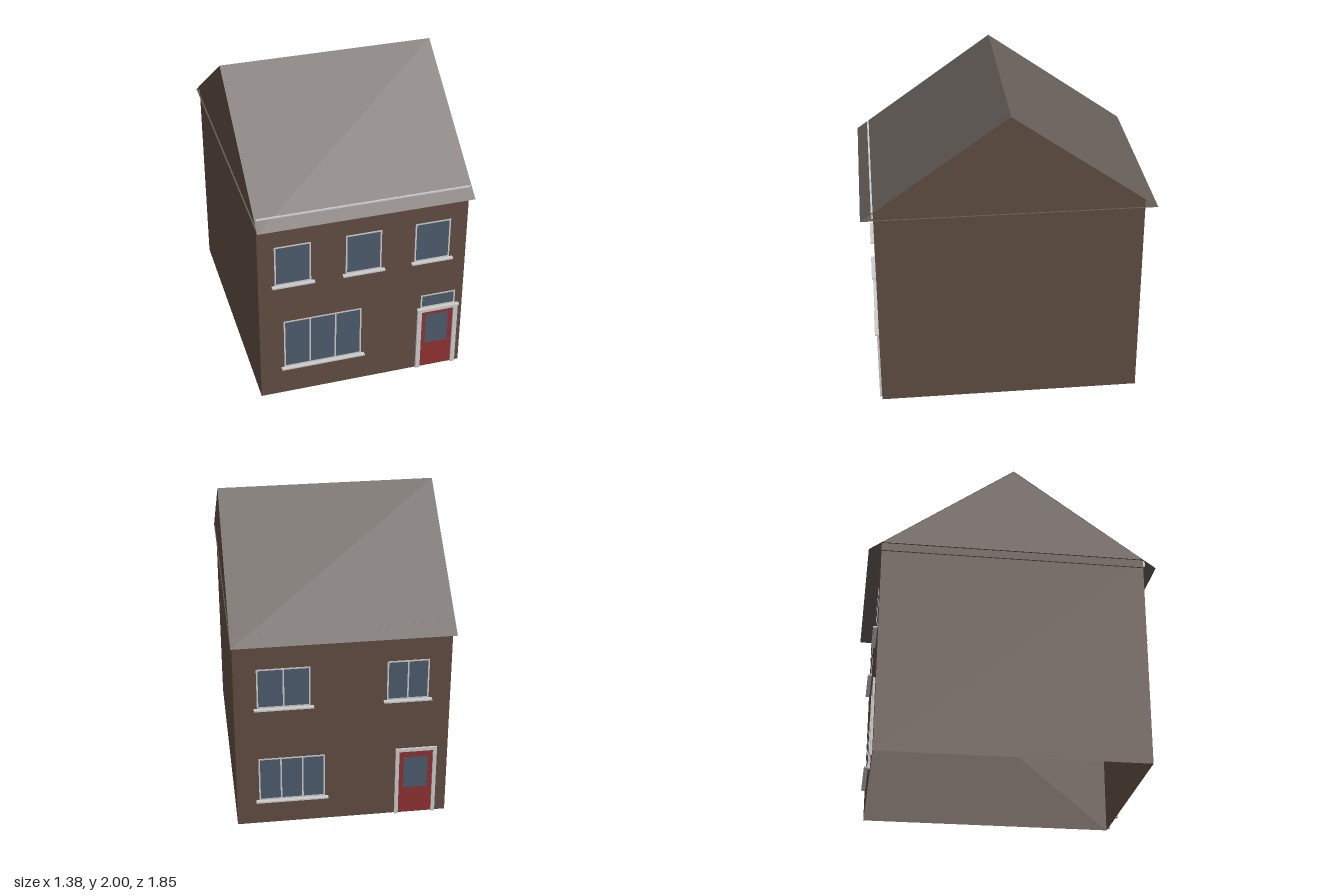
import * as THREE from 'three';

const mat = (color, side = THREE.FrontSide) => new THREE.MeshStandardMaterial({ color, side });
const brick = mat(0x5f4c42, THREE.DoubleSide);
const tile = mat(0x645d58, THREE.DoubleSide);
const trim = mat(0xcccccc);
const glass = mat(0x4d5b6c);
const red = mat(0x8e3131);

// Half extents of the walls, eaves height and ridge height
const W = 0.68, D = 0.845, EAVES = 1.4, RIDGE = 2;
// Roof half width, and run and fall of each slope
const ROOF_W = 0.69, REACH = 0.925, DROP = 0.657;
// Back plane of everything fixed to the wall
const Z0 = D + 0.0004;

function add(parent, name, geometry, material) {
  const mesh = new THREE.Mesh(geometry, material);
  mesh.name = name;
  parent.add(mesh);
  return mesh;
}

// Box given by its limits on each axis
function slab(parent, name, material, x0, x1, y0, y1, z0, z1) {
  const mesh = add(parent, name, new THREE.BoxGeometry(x1 - x0, y1 - y0, z1 - z0), material);
  mesh.position.set((x0 + x1) / 2, (y0 + y1) / 2, (z0 + z1) / 2);
}

// Window with frame, upright bars between panes and an optional sill
function addWindow(parent, name, x0, x1, y0, y1, panes = 1, sill = true) {
  const g = new THREE.Group();
  g.name = name;
  const t = 0.01, z1 = D + 0.0025;
  slab(g, 'pane', glass, x0 + t / 2, x1 - t / 2, y0 + t / 2, y1 - t / 2, Z0, D + 0.0015);
  slab(g, 'frameTop', trim, x0, x1, y1 - t, y1, Z0, z1);
  slab(g, 'frameBottom', trim, x0, x1, y0, y0 + t, Z0, z1);
  for (let i = 0; i <= panes; i++) {
    const x = x0 + t / 2 + ((x1 - x0 - t) * i) / panes;
    slab(g, 'frameUpright', trim, x - t / 2, x + t / 2, y0 + t, y1 - t, Z0, z1);
  }
  if (sill) slab(g, 'sill', trim, x0 - 0.02, x1 + 0.02, y0 - 0.01, y0, Z0, D + 0.027);
  parent.add(g);
}

// Glazed door with posts and a head piece
function addDoor(parent, name, x0, x1, top, post) {
  const g = new THREE.Group();
  g.name = name;
  const z1 = D + 0.014, mid = (x0 + x1) / 2, head = top - 0.022;
  slab(g, 'doorLeaf', red, x0 + post, x1 - post, 0, head, Z0, D + 0.0015);
  slab(g, 'doorGlass', glass, mid - 0.078, mid + 0.078, 0.195, 0.43, Z0, D + 0.003);
  slab(g, 'doorPost', trim, x0, x0 + post, 0, head, Z0, z1);
  slab(g, 'doorPost', trim, x1 - post, x1, 0, head, Z0, z1);
  slab(g, 'doorHead', trim, x0, x1, head, top, Z0, z1);
  parent.add(g);
}

export function createModel() {
  const house = new THREE.Group();
  house.name = 'house';

  // Four thin walls, open at the bottom
  ['frontWall', 'leftWall', 'backWall', 'rightWall'].forEach((name, i) => {
    const [half, out] = i % 2 ? [D, W] : [W, D];
    const wall = new THREE.PlaneGeometry(2 * half, EAVES);
    wall.translate(0, EAVES / 2, out).rotateY((i * Math.PI) / 2);
    add(house, name, wall, brick);
  });

  // Gable block, standing slightly proud of the side walls
  const tri = new THREE.Shape([
    new THREE.Vector2(-D + 0.002, EAVES),
    new THREE.Vector2(D - 0.002, EAVES),
    new THREE.Vector2(0, RIDGE - 0.003),
  ]);
  const gw = ROOF_W - 0.001;
  const gable = new THREE.ExtrudeGeometry(tri, { depth: 2 * gw, bevelEnabled: false });
  gable.translate(0, 0, -gw).rotateY(Math.PI / 2);
  add(house, 'gables', gable, brick);

  // Two thin roof slopes that overhang the eaves
  for (const s of [1, -1]) {
    const slope = new THREE.PlaneGeometry(2 * ROOF_W, Math.hypot(REACH, DROP));
    slope.rotateX(-Math.atan2(REACH, DROP)).translate(0, RIDGE - DROP / 2, REACH / 2);
    if (s < 0) slope.rotateY(Math.PI);
    add(house, s > 0 ? 'frontRoof' : 'backRoof', slope, tile);
  }

  // Flat underside closing the roof at the level of its lower edges
  const soffit = new THREE.PlaneGeometry(2 * ROOF_W, 2 * REACH);
  soffit.rotateX(Math.PI / 2).translate(0, RIDGE - DROP, 0);
  add(house, 'soffit', soffit, tile);
  slab(house, 'fascia', trim, -W, W, 1.355, EAVES, Z0, 0.857);

  // Front openings
  const front = new THREE.Group();
  front.name = 'frontOpenings';
  for (const x of [-0.457, 0, 0.453]) addWindow(front, 'upperWindow', x - 0.117, x + 0.117, 0.88, 1.17);
  addWindow(front, 'livingRoomWindow', -0.523, -0.008, 0.215, 0.585, 3);
  addDoor(front, 'frontDoor', 0.373, 0.65, 0.485, 0.03);
  slab(front, 'doorCanopy', trim, 0.37, 0.653, 0.485, 0.495, Z0, D + 0.027);
  addWindow(front, 'transomWindow', 0.394, 0.629, 0.495, 0.597, 1, false);
  house.add(front);

  // Back openings, laid out as seen from behind and then turned round
  const back = new THREE.Group();
  back.name = 'backOpenings';
  addWindow(back, 'upperWindow', -0.537, -0.202, 0.87, 1.148, 2);
  addWindow(back, 'upperWindow', 0.277, 0.542, 0.87, 1.148, 2);
  addWindow(back, 'kitchenWindow', -0.537, -0.112, 0.18, 0.495, 3);
  addDoor(back, 'backDoor', 0.343, 0.61, 0.5, 0.024);
  back.rotation.y = Math.PI;
  house.add(back);

  return house;
}
